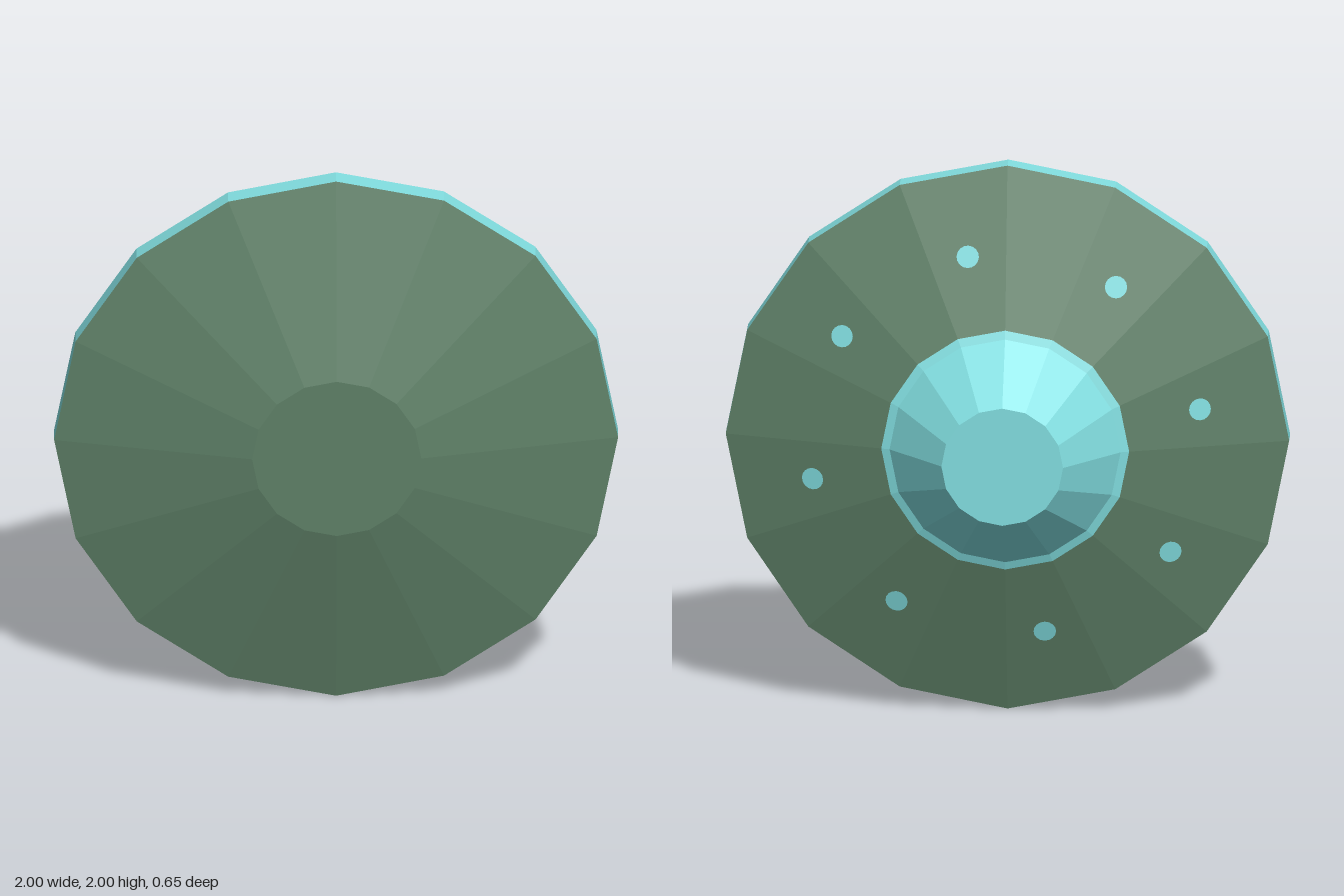
import * as THREE from 'three';

const SIDES = 16;

export function createModel() {
  const model = new THREE.Group();
  model.name = 'saucer';

  const hullGreen = new THREE.MeshStandardMaterial({ color: 0x5e8067 });
  hullGreen.name = 'hull green';
  const trimTeal = new THREE.MeshStandardMaterial({ color: 0x82dfe1 });
  trimTeal.name = 'trim teal';
  for (const m of [hullGreen, trimTeal]) m.flatShading = true;

  // Faceted frustum along z, from its front radius to its back radius
  function frustum(name, rFront, zFront, rBack, zBack, material, open = true) {
    const geo = new THREE.CylinderGeometry(rFront, rBack, zFront - zBack, SIDES, 1, open);
    geo.rotateX(Math.PI / 2);
    geo.translate(0, 1, (zFront + zBack) / 2);
    const mesh = new THREE.Mesh(geo, material);
    mesh.name = name;
    model.add(mesh);
  }

  // Hull: belly with its flat centre, rim band, and sloping deck
  frustum('belly', 0.3, 0.325, 1, 0.15, hullGreen, false);
  frustum('rimBand', 1, 0.15, 1, 0.07, trimTeal);
  frustum('deck', 1, 0.07, 0.44, -0.1, hullGreen, false);

  // Cabin: a low lip and a tapered dome with a flat top
  frustum('cabinLip', 0.44, -0.1, 0.405, -0.112, trimTeal);
  frustum('cabinDome', 0.41, -0.111, 0.216, -0.325, trimTeal, false);

  // Round lights, one on every second deck facet
  const rimApothem = Math.cos(Math.PI / SIDES);
  const slope = 0.17 / (0.56 * rimApothem);
  const dist = 0.7;
  const z = 0.07 - slope * (rimApothem - dist);
  for (let i = 0; i < 8; i++) {
    const angle = (1.5 / SIDES + i / 8) * Math.PI * 2;
    const normal = new THREE.Vector3(Math.cos(angle) * slope, Math.sin(angle) * slope, -1).normalize();
    const light = new THREE.Mesh(new THREE.CircleGeometry(0.04, 16), trimTeal);
    light.name = 'deckLight' + (i + 1);
    light.position.set(Math.cos(angle) * dist, 1 + Math.sin(angle) * dist, z).addScaledVector(normal, 0.004);
    light.quaternion.setFromUnitVectors(new THREE.Vector3(0, 0, 1), normal);
    model.add(light);
  }

  return model;
}
